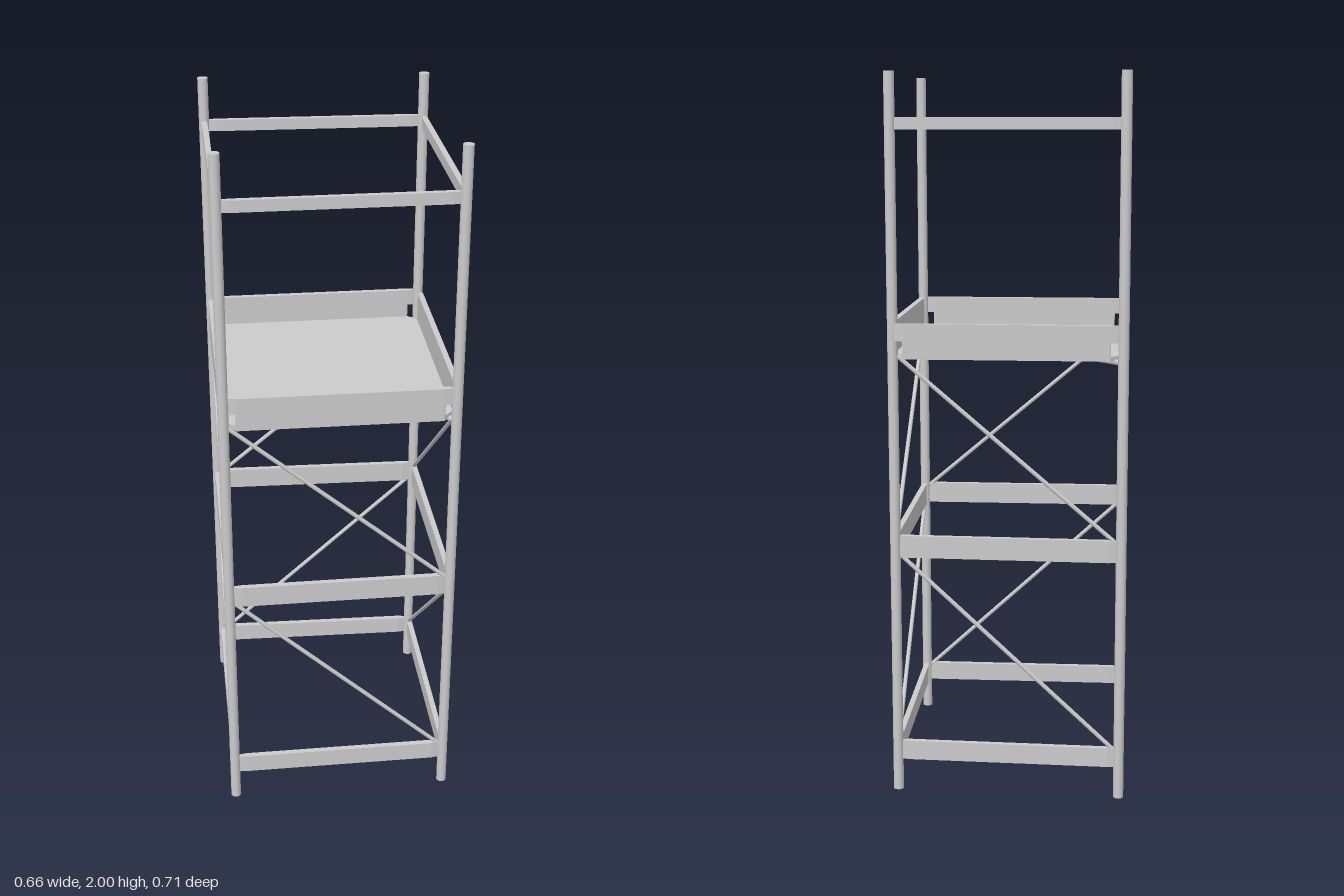
import * as THREE from 'three';

const material = new THREE.MeshStandardMaterial({ color: 0xcccccc });

export function createModel() {
  const group = new THREE.Group();
  const add = (geometry, name) => {
    const mesh = new THREE.Mesh(geometry, material);
    mesh.name = name;
    group.add(mesh);
    return mesh;
  };

  // Horizontal plate from a plan outline (x, -z), between two heights
  const plate = (points, y0, y1) => {
    const shape = new THREE.Shape(points.map(([x, z]) => new THREE.Vector2(x, -z)));
    return new THREE.ExtrudeGeometry(shape, { depth: y1 - y0, bevelEnabled: false })
      .rotateX(-Math.PI / 2).translate(0, y0, 0);
  };

  // Upright board between two plan points, ends narrowing towards the posts
  const board = (a, b, y0, y1, name, { width = 0.016, gap = 0.01, taper = 0.025, tip = 0.004 } = {}) => {
    const dx = b[0] - a[0], dz = b[1] - a[1];
    const e = Math.hypot(dx, dz) / 2 - gap, w = width / 2, t = e - taper;
    const mesh = add(plate([
      [-e, tip], [-t, w], [t, w], [e, tip], [e, -tip], [t, -w], [-t, -w], [-e, -tip],
    ], y0, y1), name);
    mesh.position.set((a[0] + b[0]) / 2, 0, (a[1] + b[1]) / 2);
    mesh.rotation.y = Math.atan2(-dz, dx);
  };

  // Round rod between two points
  const rod = (a, b, radius, name) => {
    const p = new THREE.Vector3(...a), q = new THREE.Vector3(...b);
    const dir = q.clone().sub(p);
    const mesh = add(new THREE.CylinderGeometry(radius, radius, dir.length(), 10), name);
    mesh.position.copy(p).add(q).multiplyScalar(0.5);
    mesh.quaternion.setFromUnitVectors(new THREE.Vector3(0, 1, 0), dir.normalize());
  };

  // Four posts, slightly out of square; in order around the tower
  const posts = [[-0.313, 0.338], [0.314, 0.334], [0.31, -0.325], [-0.315, -0.34]];
  const tray = [[-0.315, 0.337], [0.315, 0.337], [0.315, -0.34], [-0.315, -0.34]];
  for (const [x, z] of posts) {
    add(new THREE.CylinderGeometry(0.0145, 0.0145, 2, 20).translate(x, 1, z), 'post');
  }

  const railLevels = [[0.09, 0.145, 'bottomRail'], [0.682, 0.744, 'middleRail'], [1.848, 1.88, 'topRail']];
  const braceLevels = [[0.137, 0.69], [0.735, 1.245]];
  for (let i = 0; i < 4; i++) {
    const j = (i + 1) % 4, a = posts[i], b = posts[j];
    for (const [y0, y1, name] of railLevels) board(a, b, y0, y1, name);

    // One diagonal per side, winding round the tower
    for (const [y0, y1] of braceLevels) {
      const at = (t, y) => [a[0] + (b[0] - a[0]) * t, y, a[1] + (b[1] - a[1]) * t];
      rod(at(0.02, y1), at(0.98, y0), 0.006, 'diagonalBrace');
    }

    // Tray sides, notched at the lower ends
    board(tray[i], tray[j], 1.288, 1.335, 'traySideUpper', { gap: 0.012 });
    board(tray[i], tray[j], 1.24, 1.288, 'traySideLower', { gap: 0.034, taper: 0.003, tip: 0.006 });
  }

  // Tray floor with cut corners
  const fx = 0.31, fz = 0.335, c = 0.03;
  add(plate([
    [-fx + c, fz], [fx - c, fz], [fx, fz - c], [fx, -fz + c],
    [fx - c, -fz], [-fx + c, -fz], [-fx, -fz + c], [-fx, fz - c],
  ], 1.237, 1.25), 'trayFloor');

  // Beam running corner to corner beneath the tray
  rod([0.308, 1.234, 0.328], [-0.308, 1.234, -0.333], 0.008, 'floorBeam');

  return group;
}
